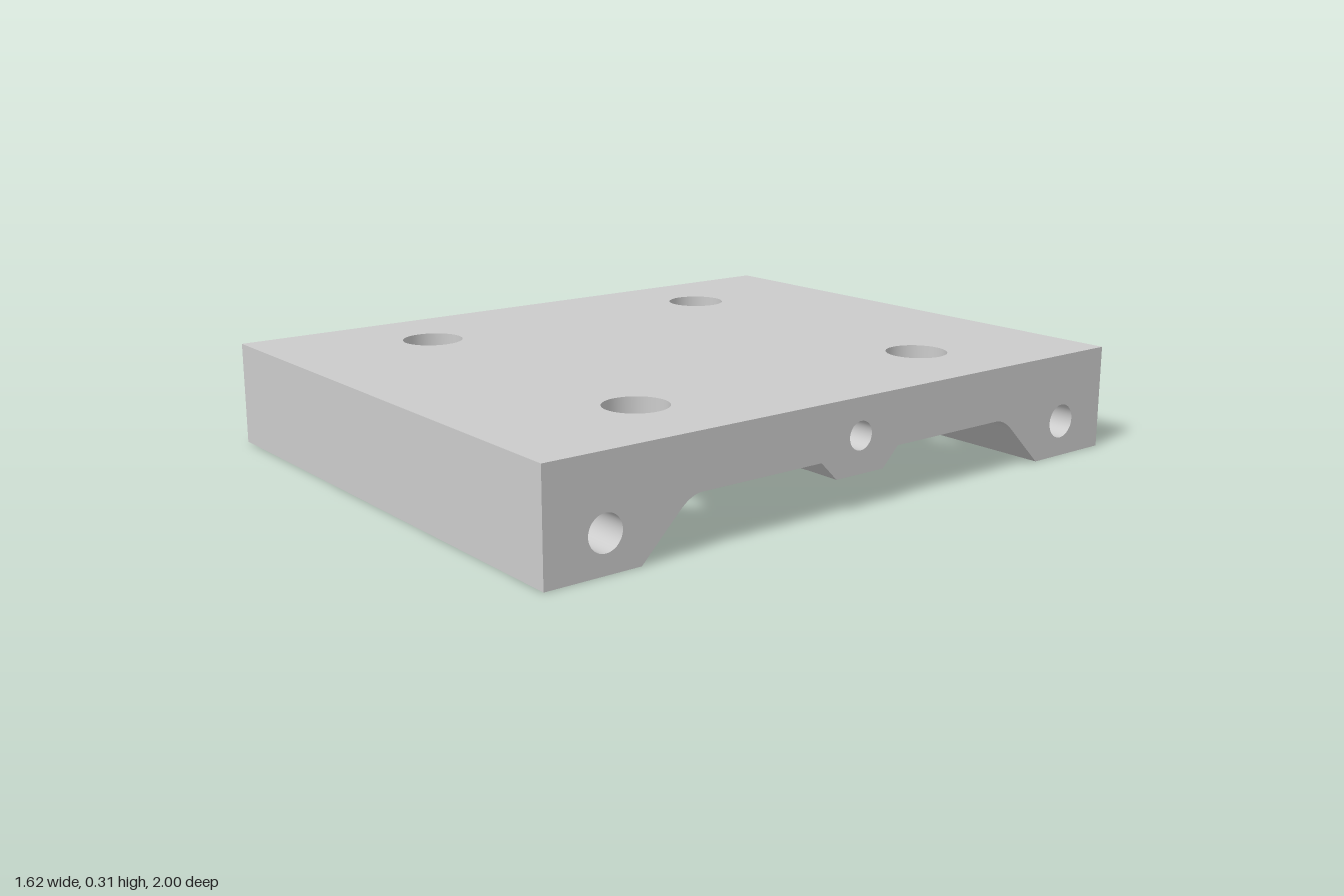
import * as THREE from 'three';
import { mergeGeometries, toCreasedNormals } from 'three/addons/utils/BufferGeometryUtils.js';

const HX = 0.81, HZ = 1, TOP = 0.305;                       // block half sizes and height
const CX = 0.515, CZ = 0.515, HOLE_R = 0.09;                // bolt holes
const BORE_R = 0.147, BORE_Y = 0.165;                       // counterbores from below
const CEIL = 0.15, EDGE_Z = 0.72, RIB_X = 0.09;             // underside pockets
const BAR_Y = 0.095, BAR_Z = 0.085;                         // cross bar in each pocket

const material = new THREE.MeshStandardMaterial({ color: 0xcccccc, side: THREE.DoubleSide });

// minimum of two heights with a rounded transition
function softMin(a, b, k) {
  const h = Math.max(k - Math.abs(a - b), 0) / k;
  return Math.min(a, b) - h * h * k / 4;
}

// height of the underside at (x, z), both positive
function underside(x, z) {
  const walls = softMin(EDGE_Z - z, (x - RIB_X) * 1.5, 0.06);
  const pocket = softMin(walls, CEIL, 0.035);
  const bar = BAR_Y + Math.max(0, z - BAR_Z);
  return Math.max(0, Math.min(pocket, bar));
}

const steps = (a, b, n) => Array.from({ length: n + 1 }, (_, i) => a + (b - a) * i / n);

// half chord of the counterbore at x
const chord = (x) => Math.sqrt(Math.max(0, BORE_R ** 2 - (x - CX) ** 2));

// grid patch of one underside quadrant; rows are trimmed to the counterbore by the rule
function patch(columns, rows, trim, sx, sz) {
  const pos = [], index = [], n = rows.length;
  for (const x of columns) {
    for (const r of rows) {
      const z = trim(r, x);
      pos.push(x * sx, underside(x, z), z * sz);
    }
  }
  const same = (a, b) => Math.abs(pos[a * 3] - pos[b * 3]) + Math.abs(pos[a * 3 + 2] - pos[b * 3 + 2]) < 1e-6;
  const tri = (a, b, c) => {
    if (same(a, b) || same(b, c) || same(a, c)) return;
    if (sx * sz > 0) index.push(a, b, c); else index.push(a, c, b);
  };
  for (let i = 0; i < columns.length - 1; i++) {
    for (let j = 0; j < n - 1; j++) {
      const a = i * n + j, b = a + n;
      tri(a, b, b + 1);
      tri(a, b + 1, a + 1);
    }
  }
  const g = new THREE.BufferGeometry();
  g.setAttribute('position', new THREE.Float32BufferAttribute(pos, 3));
  g.setIndex(index);
  return g;
}

// vertical wall of a counterbore, from the underside up to its floor
function boreWall(sx, sz) {
  const g = new THREE.CylinderGeometry(BORE_R, BORE_R, 1, 64, 1, true);
  const p = g.attributes.position;
  for (let i = 0; i < p.count; i++) {
    const x = CX + p.getX(i), z = CZ + p.getZ(i);
    p.setXYZ(i, x * sx, p.getY(i) > 0 ? BORE_Y : underside(x, z), z * sz);
    g.attributes.normal.setXYZ(i, -(x - CX) * sx / BORE_R, 0, -(z - CZ) * sz / BORE_R);
  }
  // turn the faces inward
  if (sx * sz > 0) {
    const id = g.index.array;
    for (let i = 0; i < id.length; i += 3) [id[i], id[i + 1]] = [id[i + 1], id[i]];
  }
  return g;
}

// inward-facing tube wall along y
function innerTube(r, length) {
  const g = new THREE.CylinderGeometry(r, r, length, 48, 1, true);
  const id = g.index.array, nm = g.attributes.normal;
  for (let i = 0; i < id.length; i += 3) [id[i], id[i + 1]] = [id[i + 1], id[i]];
  for (let i = 0; i < nm.count; i++) nm.setXYZ(i, -nm.getX(i), 0, -nm.getZ(i));
  return g;
}

const circlePath = (x, y, r) => new THREE.Path().absarc(x, y, r, 0, Math.PI * 2, true);

export function createModel() {
  const group = new THREE.Group();
  const add = (name, geometry, parent = group) => {
    const mesh = new THREE.Mesh(geometry, material);
    mesh.name = name;
    parent.add(mesh);
    return mesh;
  };
  const quadrants = [[1, 1], [1, -1], [-1, 1], [-1, -1]];

  // top plate face with four bolt holes
  const top = new THREE.Shape([[-HX, -HZ], [HX, -HZ], [HX, HZ], [-HX, HZ]].map((p) => new THREE.Vector2(...p)));
  for (const [sx, sz] of quadrants) top.holes.push(circlePath(CX * sx, CZ * sz, HOLE_R));
  add('topFace', new THREE.ShapeGeometry(top, 24).rotateX(-Math.PI / 2).translate(0, TOP, 0));

  // plain front and back faces
  for (const s of [1, -1]) {
    const g = new THREE.PlaneGeometry(HX * 2, TOP).rotateY(s > 0 ? 0 : Math.PI).translate(0, TOP / 2, s * HZ);
    add(s > 0 ? 'frontFace' : 'backFace', g);
  }

  // underside: two sloped pockets with a middle rib and cross bars
  const columns = [0, 0.07, ...steps(0.08, 0.24, 24),
    ...steps(Math.PI, 0, 32).map((t) => CX + BORE_R * Math.cos(t)), HX];
  const inner = [0, BAR_Z, BAR_Z + CEIL - BAR_Y - 0.01, BAR_Z + CEIL - BAR_Y, 0.2, CZ];
  const outer = [...steps(CZ, EDGE_Z, 32), HZ];
  const parts = [];
  for (const [sx, sz] of quadrants) {
    parts.push(patch(columns, inner, (z, x) => Math.min(z, CZ - chord(x)), sx, sz));
    parts.push(patch(columns, outer, (z, x) => Math.max(z, CZ + chord(x)), sx, sz));
  }
  add('underside', toCreasedNormals(mergeGeometries(parts), 0.45));

  // bolt holes with counterbores
  for (const [sx, sz] of quadrants) {
    const hole = new THREE.Group();
    hole.name = 'boltHole';
    group.add(hole);
    add('counterboreWall', boreWall(sx, sz), hole);
    add('counterboreFloor', new THREE.RingGeometry(HOLE_R, BORE_R, 64).rotateX(Math.PI / 2)
      .translate(CX * sx, BORE_Y, CZ * sz), hole);
    add('boltHoleWall', innerTube(HOLE_R, TOP - BORE_Y)
      .translate(CX * sx, (TOP + BORE_Y) / 2, CZ * sz), hole);
  }

  // side faces cut by the pocket profile, each with three blind holes
  const half = [...inner, ...outer.slice(1)];
  const profile = [...half.slice(1).reverse().map((z) => -z), ...half]
    .map((z) => new THREE.Vector2(z, underside(HX, Math.abs(z))));
  const side = new THREE.Shape([...profile, new THREE.Vector2(HZ, TOP), new THREE.Vector2(-HZ, TOP)]);
  const pins = [[-0.825, 0.105, 0.05], [0, 0.2, 0.04], [0.825, 0.105, 0.05]];
  for (const p of pins) side.holes.push(circlePath(...p));
  const DEPTH = 0.3;
  for (const s of [1, -1]) {
    const face = new THREE.Group();
    face.name = s > 0 ? 'leftSide' : 'rightSide';
    face.rotation.y = s * Math.PI / 2;
    face.position.x = s * HX;
    group.add(face);
    add('sideFace', new THREE.ShapeGeometry(side, 24), face);
    for (const [z, y, r] of pins) {
      add('pinHoleWall', innerTube(r, DEPTH).rotateX(Math.PI / 2).translate(z, y, -DEPTH / 2), face);
      add('pinHoleEnd', new THREE.CircleGeometry(r, 48).translate(z, y, -DEPTH), face);
    }
  }
  return group;
}
